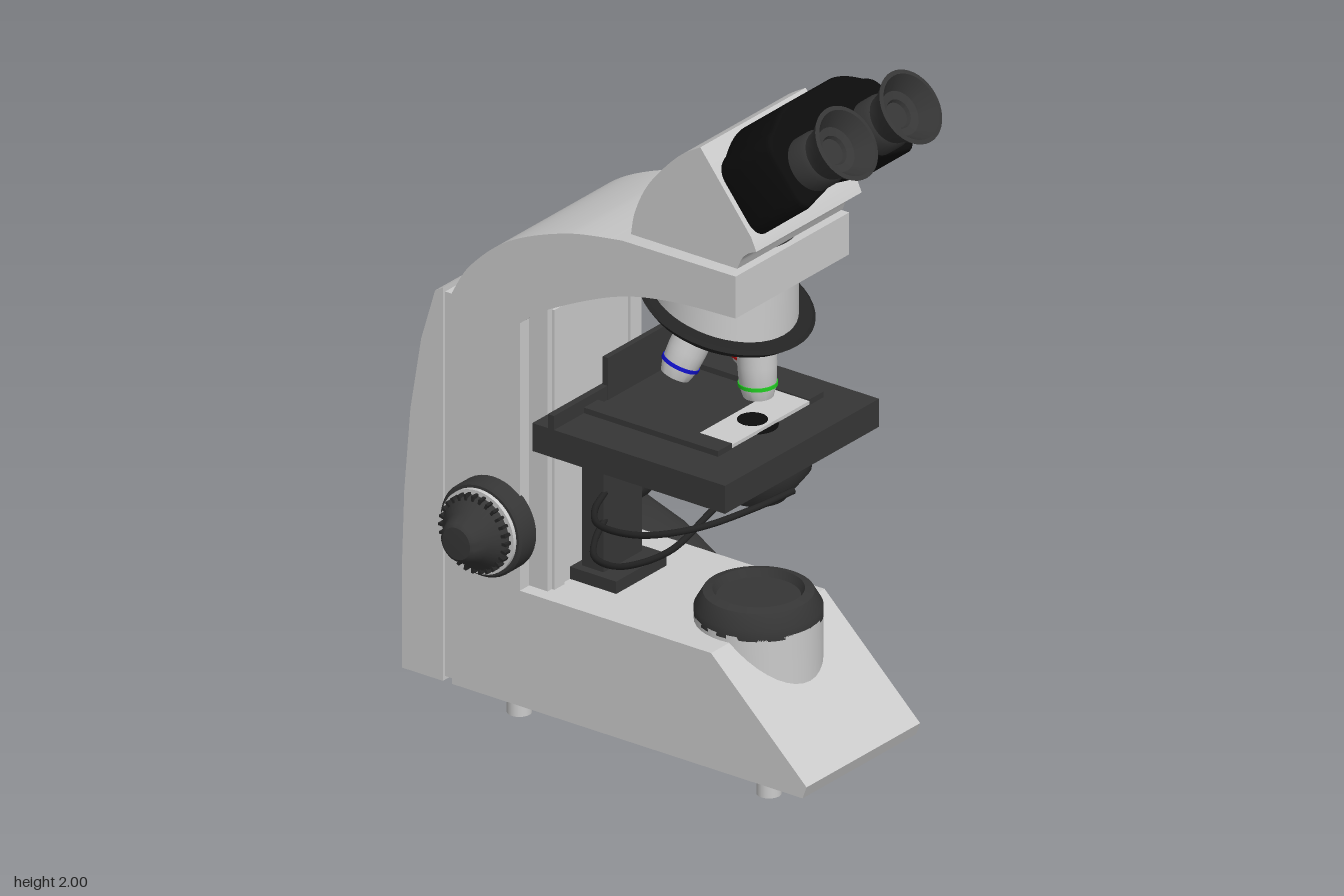
import * as THREE from 'three';
import { toCreasedNormals } from 'three/addons/utils/BufferGeometryUtils.js';

const CX = -0.127; // optical axis, x
const mat = (color) => new THREE.MeshStandardMaterial({ color });
const LIGHT = mat(0xcccccc), DARK = mat(0x363636), CHARCOAL = mat(0x242424), BLACK = mat(0x0c0c0c);

export function createModel() {
  const root = new THREE.Group();
  root.name = 'microscope';

  const add = (name, geo, material, parent = root) => {
    const m = new THREE.Mesh(geo, material);
    m.name = name;
    parent.add(m);
    return m;
  };
  const group = (name, x, y, z, parent = root) => {
    const g = new THREE.Group();
    g.name = name;
    g.position.set(x, y, z);
    parent.add(g);
    return g;
  };
  // box given by its limits
  const box = (name, x0, x1, y0, y1, z0, z1, material, parent) => {
    const m = add(name, new THREE.BoxGeometry(x1 - x0, y1 - y0, z1 - z0), material, parent);
    m.position.set((x0 + x1) / 2, (y0 + y1) / 2, (z0 + z1) / 2);
    return m;
  };
  // turned part, profile as [radius, height]
  const lathe = (name, pts, material, parent, seg = 40) =>
    add(name, toCreasedNormals(new THREE.LatheGeometry(pts.map((p) => new THREE.Vector2(...p)), seg), 0.6), material, parent);
  // side profile in (z, y), extruded across x
  const sideExtrude = (name, shape, x0, x1, material) => {
    const geo = new THREE.ExtrudeGeometry(shape, { depth: x1 - x0, bevelEnabled: false, curveSegments: 20 });
    geo.rotateY(-Math.PI / 2).translate(x1, 0, 0);
    return add(name, toCreasedNormals(geo, 0.5), material);
  };
  const vecs = (pts) => pts.map((p) => new THREE.Vector2(...p));

  // base, column and arched arm in one profile
  const body = new THREE.Shape();
  body.moveTo(-0.55, 0.07);
  body.lineTo(0.587, 0.07);
  body.lineTo(0.6, 0.105);
  body.lineTo(0.29, 0.4);
  body.lineTo(-0.33, 0.4);
  body.lineTo(-0.33, 1.165);
  body.splineThru(vecs([[-0.23, 1.235], [-0.02, 1.33], [0.16, 1.368], [0.37, 1.38]]));
  body.lineTo(0.37, 1.5);
  body.lineTo(0, 1.497);
  body.splineThru(vecs([[-0.18, 1.465], [-0.365, 1.39], [-0.49, 1.285], [-0.55, 1.19]]));
  sideExtrude('body', body, -0.37, 0.115, LIGHT);
  box('columnFace', -0.33, 0.07, 0.4, 1.22, -0.34, -0.27, LIGHT);
  for (const x of [-0.29, 0.035]) box('columnRail', x - 0.022, x + 0.022, 0.4, 1.2, -0.28, -0.262, LIGHT);

  // rear cover with a recessed seam
  box('coverSeam', -0.36, 0.105, 0.08, 1.18, -0.59, -0.54, LIGHT);
  const cover = new THREE.Shape(vecs([[-0.58, 0.07], [-0.58, 1.195], [-0.605, 1.18], [-0.65, 1.03],
    [-0.685, 0.82], [-0.705, 0.58], [-0.713, 0.35], [-0.713, 0.07]]));
  const coverGeo = new THREE.ExtrudeGeometry(cover, { depth: 0.485, bevelEnabled: false });
  add('rearCover', coverGeo.rotateY(-Math.PI / 2).translate(0.115, 0, 0), LIGHT);

  // feet
  for (const x of [-0.28, 0.026]) for (const z of [0.41, -0.4])
    add('foot', new THREE.CylinderGeometry(0.033, 0.033, 0.09, 20), LIGHT).position.set(x, 0.045, z);

  // illuminator on the base
  const lamp = group('illuminator', CX, 0, 0.26);
  lathe('lampDrum', [[0, 0.1], [0.168, 0.1], [0.168, 0.42], [0, 0.42]], LIGHT, lamp);
  lathe('lampRing', [[0.168, 0.41], [0.168, 0.44], [0.145, 0.48], [0.12, 0.487], [0.11, 0.465], [0, 0.465]], DARK, lamp);

  // lamp housing: stacked footprints, flat at the back, round at the outer end
  const rings = [[0.08, 0.525, -0.19], [0.12, 0.53, -0.18], [0.165, 0.53, -0.29], [0.235, 0.5, -0.385],
    [0.31, 0.43, -0.46], [0.37, 0.37, -0.495], [0.42, 0.335, -0.515], [0.46, 0.29, -0.53]];
  const N = 20, pos = [], idx = [], K = N + 3;
  for (const [y, X, zf] of rings) {
    const rz = (zf + 0.55) / 2, rx = Math.min(0.19, X - 0.2);
    pos.push(0.1, y, -0.55);
    for (let i = 0; i <= N; i++) {
      const a = (i / N - 0.5) * Math.PI;
      pos.push(X - rx + rx * Math.cos(a), y, zf - rz + rz * Math.sin(a));
    }
    pos.push(0.1, y, zf - rz * 0.55);
  }
  for (let r = 0; r < rings.length - 1; r++) for (let i = 0; i < K; i++) {
    const a = r * K + i, b = r * K + (i + 1) % K;
    idx.push(a, a + K, b, b, a + K, b + K);
  }
  const top = (rings.length - 1) * K;
  for (let i = 1; i < K - 1; i++) idx.push(0, i, i + 1, top, top + i + 1, top + i);
  const housing = new THREE.BufferGeometry();
  housing.setAttribute('position', new THREE.Float32BufferAttribute(pos, 3));
  housing.setIndex(idx);
  add('lampHousing', toCreasedNormals(housing, 0.7), DARK);

  // focus knobs, both sides
  for (const s of [-1, 1]) {
    const knob = group('focusKnob', CX + s * 0.235, 0.57, -0.415);
    knob.rotation.z = -s * Math.PI / 2;
    lathe('coarseKnob', [[0, 0], [0.132, 0], [0.132, 0.06], [0.126, 0.066], [0, 0.066]], DARK, knob);
    lathe('scaleRing', [[0, 0.06], [0.118, 0.06], [0.118, 0.078], [0, 0.078]], LIGHT, knob);
    lathe('fineKnob', [[0, 0.07], [0.105, 0.07], [0.1, 0.095], [0.07, 0.125], [0.055, 0.16], [0.045, 0.168], [0, 0.17]], DARK, knob);
    for (let i = 0; i < 28; i++) {
      const a = (i / 28) * Math.PI * 2;
      const rib = add('knobRib', new THREE.BoxGeometry(0.02, 0.03, 0.008), CHARCOAL, knob);
      rib.position.set(0.1 * Math.cos(a), 0.085, 0.1 * Math.sin(a));
      rib.rotation.y = -a;
    }
  }

  // stage support
  box('stageRack', -0.21, -0.045, 0.4, 0.89, -0.25, -0.18, DARK);
  box('rackFoot', -0.235, -0.02, 0.4, 0.435, -0.27, -0.12, DARK);
  box('rackSlide', -0.17, -0.085, 0.5, 0.86, -0.275, -0.24, LIGHT);

  // stage plate with a rounded lobe at the back corner
  const plate = new THREE.Shape(vecs([[-0.468, -0.41], [0.19, -0.41], [0.19, 0.01]]));
  plate.lineTo(0.24, 0.01);
  plate.absarc(0.23, 0.11, 0.105, -Math.PI / 2, Math.PI / 2, false);
  plate.lineTo(-0.468, 0.215);
  const plateGeo = new THREE.ExtrudeGeometry(plate, { depth: 0.08, bevelEnabled: false, curveSegments: 20 });
  add('stage', toCreasedNormals(plateGeo.rotateX(-Math.PI / 2).translate(0, 0.87, 0), 0.5), DARK);
  add('stageOpening', new THREE.CylinderGeometry(0.06, 0.06, 0.004, 28), BLACK).position.set(CX, 0.951, 0.25);
  box('slide', -0.3, 0.06, 0.952, 0.962, 0.18, 0.29, LIGHT);
  add('specimen', new THREE.CylinderGeometry(0.04, 0.04, 0.004, 24), BLACK).position.set(CX, 0.962, 0.24);
  box('holderBar', -0.468, 0.11, 0.95, 0.99, -0.165, -0.145, DARK);
  box('holderUpright', -0.24, 0.11, 0.95, 1.07, -0.16, -0.143, DARK);
  box('holderArm', 0.05, 0.11, 0.95, 0.966, -0.15, 0.29, DARK);
  box('holderArm', -0.34, -0.28, 0.95, 0.966, -0.15, 0.29, DARK);

  // stage drive control below the lobe
  lathe('stageDrive', [[0, 0.54], [0.045, 0.54], [0.045, 0.59], [0.055, 0.592], [0.055, 0.7], [0.034, 0.702], [0.034, 0.88]],
    DARK, group('stageControl', 0.263, 0, -0.112), 28);

  // condenser and its loop cables
  lathe('condenser', [[0, 0.752], [0.078, 0.752], [0.142, 0.835], [0.147, 0.875], [0, 0.875]], DARK, group('condenserUnit', CX, 0, 0.255));
  const cables = [
    [[-0.15, 0.81, 0.39], [-0.3, 0.808, 0.37], [-0.43, 0.785, 0.3], [-0.478, 0.74, 0.16], [-0.42, 0.69, -0.03], [-0.3, 0.66, -0.14], [-0.19, 0.655, -0.19]],
    [[-0.17, 0.8, 0.24], [-0.3, 0.76, 0.235], [-0.41, 0.68, 0.19], [-0.45, 0.615, 0.07], [-0.4, 0.58, -0.06], [-0.3, 0.572, -0.14], [-0.19, 0.578, -0.19]],
  ];
  for (const c of cables) {
    const path = new THREE.CatmullRomCurve3(c.map((p) => new THREE.Vector3(...p)));
    add('cable', new THREE.TubeGeometry(path, 48, 0.009, 8), CHARCOAL);
  }

  // nosepiece drum, its lower rim sheared to sit on the tilted turret
  const tilt = 0.33, nz = 0.155, ny = 1.27;
  const drum = new THREE.CylinderGeometry(0.192, 0.192, 0.1, 48).translate(0, 1.35, nz - 0.005);
  const dp = drum.attributes.position;
  for (let i = 0; i < dp.count; i++)
    if (dp.getY(i) < 1.35) dp.setY(i, ny + 0.005 - (dp.getZ(i) - nz) * Math.tan(0.29));
  add('nosepieceDrum', toCreasedNormals(drum, 0.6), LIGHT).position.x = CX;

  // turret with four objectives; local -y is the turret axis
  const turret = group('turret', CX, ny, nz);
  turret.rotation.x = tilt - 0.04;
  lathe('turretDisc', [[0, -0.035], [0.19, -0.03], [0.215, -0.012], [0.235, 0.01], [0.225, 0.018], [0, 0.018]], CHARCOAL, turret, 48);
  const objectives = [[0.205, 0x22cc22], [0.265, 0xcc1111], [0.15, 0x444444], [0.175, 0x1111cc]];
  objectives.forEach(([len, color], i) => {
    const turn = group('objectiveMount', 0, 0, 0, turret);
    turn.rotation.y = i * Math.PI / 2;
    const o = group('objective', 0, 0, 0.1, turn);
    o.rotation.x = -tilt;
    lathe('objectiveBarrel', [[0.052, 0.01], [0.052, -len * 0.55], [0.049, -len + 0.03], [0.04, -len], [0.02, -len], [0, -len + 0.01]].reverse(), LIGHT, o, 28);
    add('colourBand', new THREE.CylinderGeometry(0.0525, 0.0525, 0.01, 28), mat(color)).position.y = -len + 0.036;
    o.add(root.children.pop());
    o.children[1].parent = o;
  });

  // viewing head: collar and curved prism case
  add('headCollar', new THREE.CylinderGeometry(0.16, 0.16, 0.04, 40), DARK).position.set(CX, 1.505, 0.19);
  const head = new THREE.Shape();
  head.moveTo(0.015, 1.512);
  head.lineTo(0.36, 1.512);
  head.splineThru(vecs([[0.375, 1.545], [0.395, 1.565], [0.422, 1.578]]));
  head.lineTo(0.405, 1.615);
  head.lineTo(0.24, 1.825);
  head.splineThru(vecs([[0.165, 1.775], [0.075, 1.675], [0.03, 1.585], [0.015, 1.512]]));
  sideExtrude('headCase', head, -0.35, 0.1, LIGHT);

  // binocular unit; local y is the viewing direction, local -z its upper side
  const bino = group('binocular', CX, 1.79, 0.435);
  bino.rotation.x = 0.9;
  lathe('binocularNeck', [[0, -0.18], [0.11, -0.18], [0.11, -0.08], [0, -0.08]], DARK, bino);
  const outline = new THREE.Shape();
  outline.moveTo(-0.215, -0.115);
  outline.splineThru(vecs([[-0.12, -0.095], [0, -0.07], [0.12, -0.095], [0.215, -0.115]]));
  outline.quadraticCurveTo(0.233, -0.11, 0.233, -0.08);
  outline.lineTo(0.233, 0.04);
  outline.quadraticCurveTo(0.23, 0.075, 0.19, 0.085);
  outline.quadraticCurveTo(0.13, 0.125, 0.09, 0.125);
  outline.lineTo(-0.09, 0.125);
  outline.quadraticCurveTo(-0.13, 0.125, -0.19, 0.085);
  outline.quadraticCurveTo(-0.23, 0.075, -0.233, 0.04);
  outline.lineTo(-0.233, -0.08);
  outline.quadraticCurveTo(-0.233, -0.11, -0.215, -0.115);
  const caseGeo = new THREE.ExtrudeGeometry(outline, { depth: 0.18, bevelThickness: 0.012, bevelSize: 0.012, bevelSegments: 3, curveSegments: 10 });
  add('binocularCase', toCreasedNormals(caseGeo.rotateX(-Math.PI / 2).translate(0, -0.09, 0), 0.6), BLACK, bino);
  for (const s of [-1, 1])
    lathe('eyepiece', [[0.076, 0.08], [0.076, 0.15], [0.068, 0.165], [0.075, 0.195], [0.104, 0.25], [0.092, 0.252], [0.062, 0.205], [0.04, 0.2], [0.035, 0.19], [0, 0.19]],
      DARK, group('eyepieceMount', s * 0.137, 0, 0.03, bino));

  return root;
}
